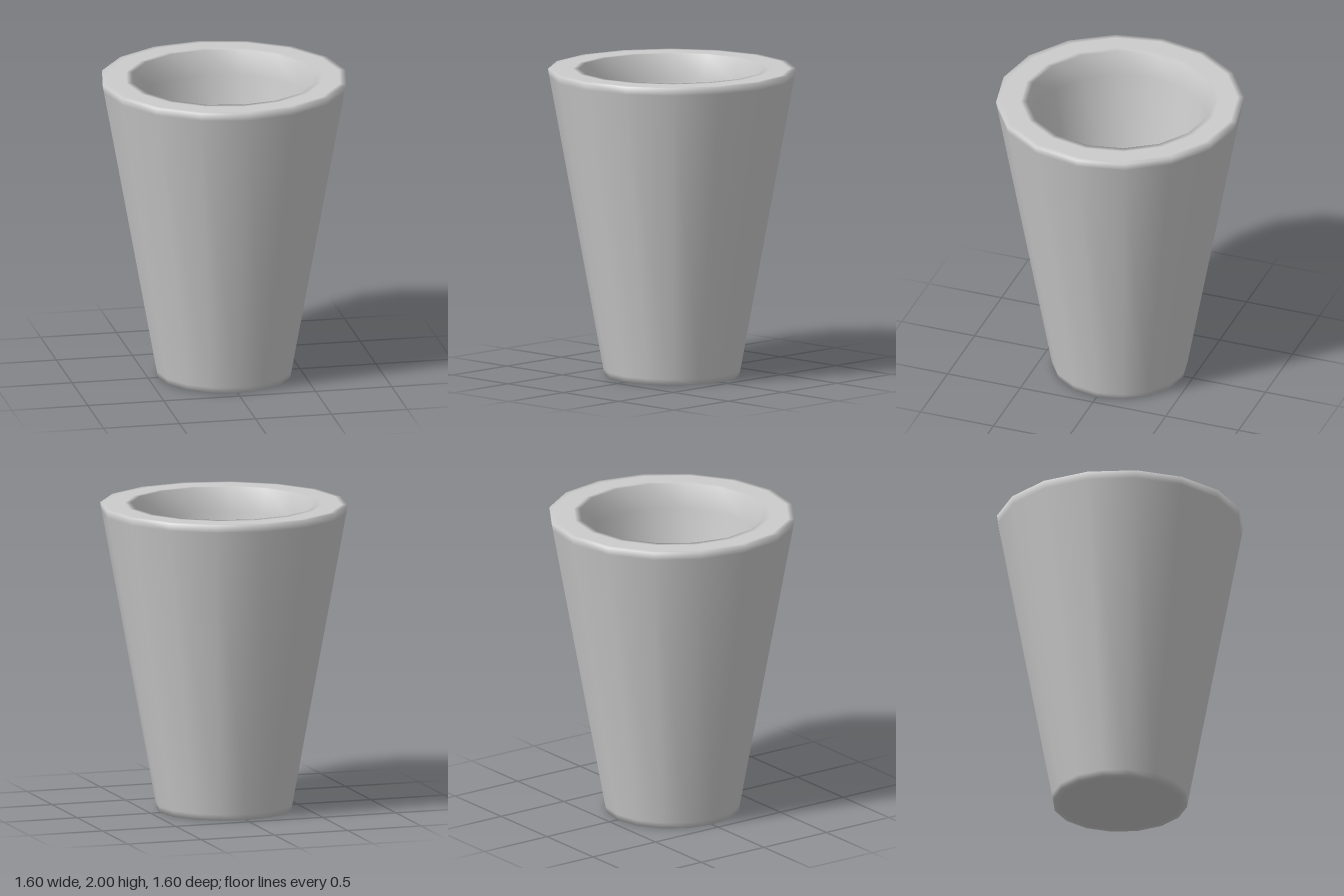
import * as THREE from 'three';

const HEIGHT = 2;
const SIDES = 16;
const TOP_R = 0.8;
const BASE_R = 0.435;
const SLOPE = (TOP_R - BASE_R) / HEIGHT;

// radius of the outer wall and of the parallel cavity wall at a height
const outer = (y) => BASE_R + SLOPE * y;
const inner = (y) => outer(y) - 0.2;

export function createModel() {
  const group = new THREE.Group();
  group.name = 'cup';
  const material = new THREE.MeshStandardMaterial({ color: 0xcccccc });

  // closed profile: base, outer wall, rim, cavity wall, dished floor;
  // extra points close to the edges keep the smooth shading tight
  const profile = [
    [0, 0],
    [BASE_R - 0.04, 0],
    [BASE_R, 0],
    [outer(0.04), 0.04],
    [outer(1.95), 1.95],
    [TOP_R, HEIGHT],
    [TOP_R - 0.04, HEIGHT],
    [inner(HEIGHT) + 0.04, HEIGHT],
    [inner(HEIGHT), HEIGHT],
    [inner(1.84), 1.84],
    [inner(0.92), 0.92],
    [inner(0.86), 0.86],
    [0.36, 0.84],
    [0.25, 0.8],
    [0.12, 0.775],
    [0, 0.77],
  ].map(([r, y]) => new THREE.Vector2(r, y));

  const body = new THREE.Mesh(new THREE.LatheGeometry(profile, SIDES), material);
  body.name = 'cupBody';
  group.add(body);
  return group;
}
